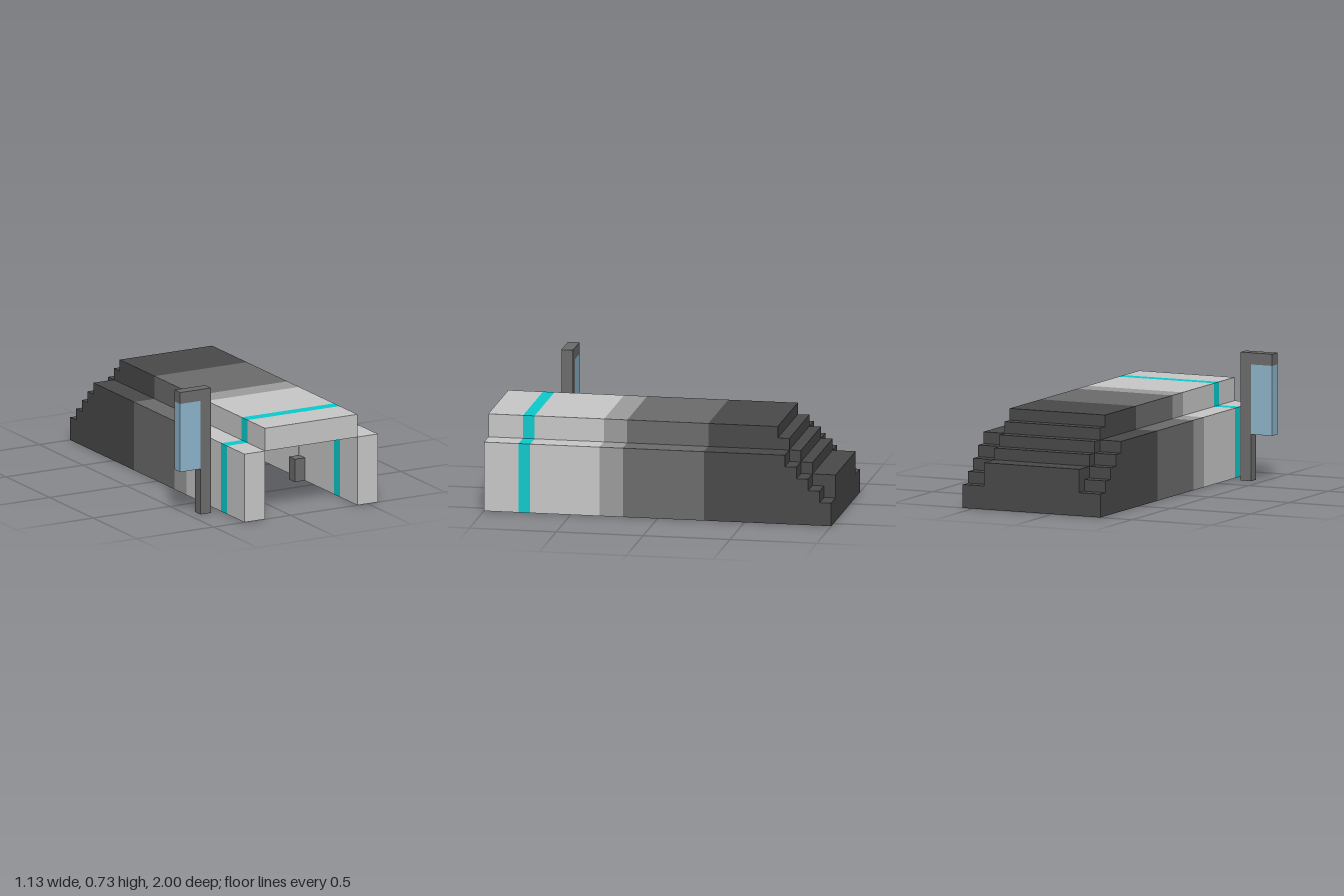
import * as THREE from 'three';

const U = 1 / 15; // one block
const mat = (name, color) => {
  const m = new THREE.MeshStandardMaterial({ color });
  m.name = name;
  return m;
};

export function createModel() {
  const model = new THREE.Group();
  const light = mat('lightGrey', 0xc8c8c8);
  const silver = mat('middleGrey', 0x9c9c9c);
  const grey = mat('grey', 0x6c6c6c);
  const dark = mat('darkGrey', 0x494949);
  const cyan = mat('cyan', 0x0ccbcd);
  const blue = mat('paleBlue', 0x8db5cb);

  // Box from its corner limits, in blocks
  const box = (name, material, [x0, x1], [y0, y1], [z0, z1], parent = model) => {
    const g = new THREE.BoxGeometry((x1 - x0) * U, (y1 - y0) * U, (z1 - z0) * U);
    const m = new THREE.Mesh(g, material);
    m.name = name;
    m.position.set((x0 + x1) / 2 * U, (y0 + y1) / 2 * U, (z0 + z1) / 2 * U);
    parent.add(m);
    return m;
  };

  const walls = [[-4.5, -2.5], [6.5, 8.5]];
  const inside = [-2.5, 6.5];
  const T = 0.06; // lining thickness

  // Straight tunnel in coloured bands, front to back
  const bands = [
    [light, 12, 15], [cyan, 11, 12], [light, 5, 11],
    [silver, 3, 5], [grey, -4, 3], [dark, -10, -4],
  ];
  for (const [material, z0, z1] of bands) {
    for (const x of walls) box('sideWall', material, x, [0, 6], [z0, z1]);
    box('roof', material, inside, [6, 8], [z0, z1]);
  }

  // Stepped rear: roof slabs two blocks thick, walls one block lower
  const steps = [[7, -11, -10], [6, -12, -11], [5, -13, -12], [4, -15, -13]];
  for (const [top, z0, z1] of steps) {
    box('rearStep', dark, inside, [top - 2, top], [z0, z1]);
    // light facing on the hidden riser and underside
    box('riserLining', light, inside, [top - 2, top - 1], [z1, z1 + T]);
    if (top > 4) box('stepLining', light, inside, [top - 2 - T, top - 2], [z0, z1]);
  }
  box('rearWall', dark, inside, [0, 2], [-15, -13]);
  for (const x of walls) {
    for (let i = 0; i < 5; i++) {
      box('sideWallStep', dark, x, [0, 6 - i], [-11 - i, -10 - i]);
    }
  }

  // Light lining of the inner walls and ceiling behind the front section
  box('ceilingLining', light, inside, [6 - T, 6], [-10, 5]);
  for (const [x0, x1] of [[-2.5, -2.5 + T], [6.5 - T, 6.5]]) {
    box('wallLining', light, [x0, x1], [0, 6], [-10, 5]);
    for (let i = 0; i < 3; i++) {
      box('wallLining', light, [x0, x1], [0, 5 - i], [-11 - i, -10 - i]);
    }
  }

  // Short posts inside the tunnel
  for (const x of [-2.5, 1.5, 5.5]) box('post', grey, [x, x + 1], [0, 2], [5, 6]);

  // Sign beside the entrance
  const sign = new THREE.Group();
  sign.name = 'sign';
  model.add(sign);
  box('signPole', grey, [-6.5, -5.5], [0, 11], [10, 11], sign);
  box('signArm', grey, [-8.5, -6.5], [10, 11], [10, 11], sign);
  box('signPanel', blue, [-8.5, -6.5], [4, 10], [10, 11], sign);

  return model;
}
